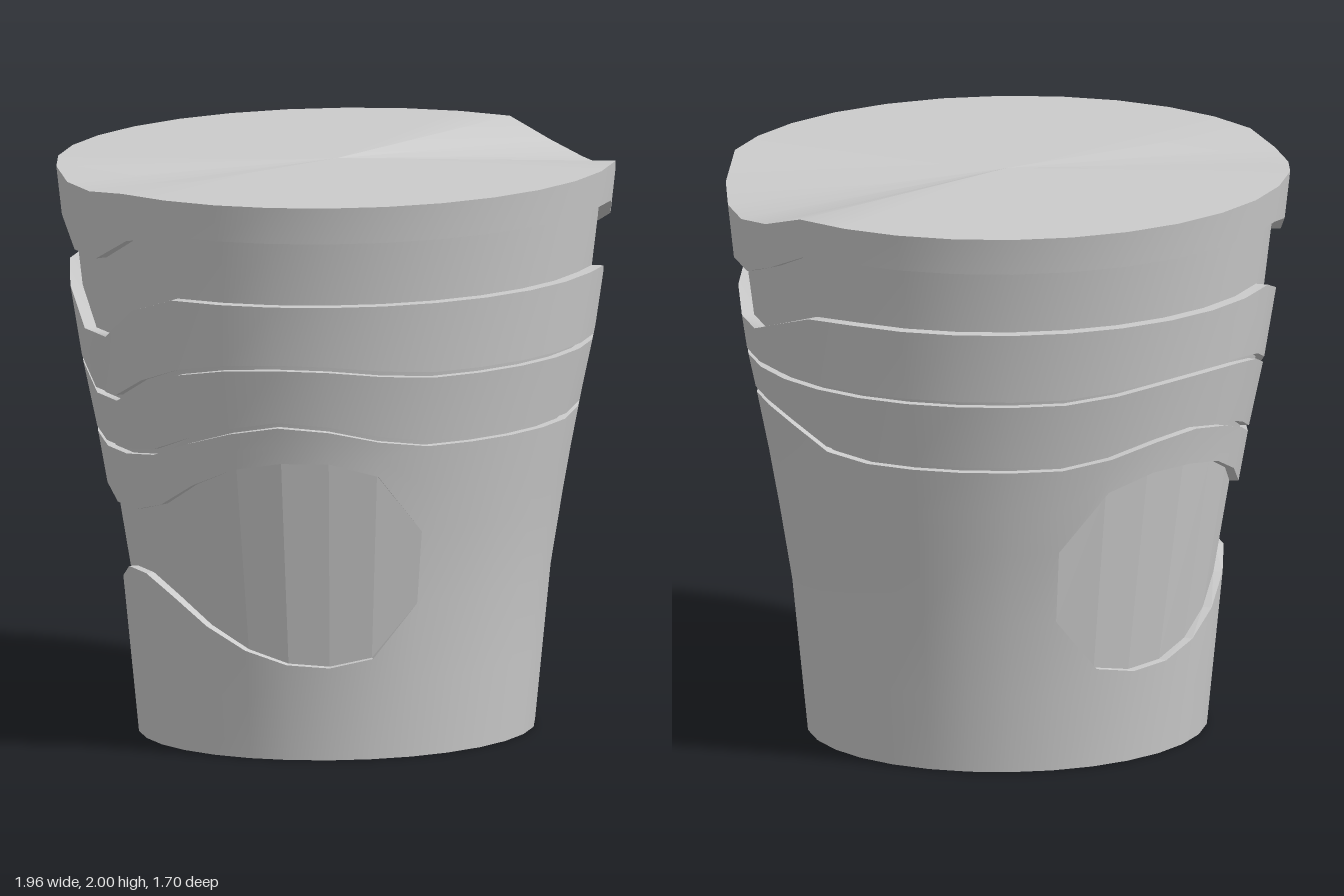
import * as THREE from 'three';

const SIDES = 30;

// outer wall: [height, half width in x, half depth in z]
const WALL = [
  [0, 0.695, 0.6], [0.6, 0.755, 0.65], [1.1, 0.845, 0.73], [1.4, 0.91, 0.783],
  [1.64, 0.945, 0.81], [1.87, 0.97, 0.838], [2, 0.985, 0.853],
];

// wavy edges: heights from the +x side round to the -x side, mirrored round the back
const RIM_TOP = [1.91, 1.94, 2, 2, 2, 2, 2, 2, 2, 2, 2, 2, 2, 2, 1.98];
const RIM_BOTTOM = [1.72, 1.78, 1.86, 1.87, 1.87, 1.87, 1.87, 1.87, 1.87, 1.87, 1.87, 1.87, 1.87, 1.83, 1.74];
const UPPER_TOP = [1.51, 1.57, 1.63, 1.64, 1.64, 1.64, 1.64, 1.64, 1.64, 1.64, 1.64, 1.64, 1.64, 1.58, 1.46];
const UPPER_BOTTOM = [1.39, 1.39, 1.39, 1.39, 1.39, 1.39, 1.39, 1.39, 1.405, 1.425, 1.43, 1.42, 1.39, 1.33, 1.25];
const LOWER_BOTTOM = [1.25, 1.22, 1.155, 1.14, 1.14, 1.14, 1.14, 1.14, 1.165, 1.205, 1.22, 1.19, 1.14, 1.08, 1.06];
const RECESS_TOP = [0.81, 0.81, 0.81, 0.81, 0.81, 0.81, 0.81, 0.81, 1.02, 1.07, 1.07, 1.04, 0.97, 0.88, 0.84];
const RECESS_BOTTOM = [0.55, 0.55, 0.55, 0.55, 0.55, 0.55, 0.55, 0.55, 0.36, 0.33, 0.34, 0.385, 0.46, 0.55, 0.61];
const RECESS_START = 7;

const flat = (y) => Array(15).fill(y);
const lower = (edge, d) => edge.map((y) => y - d);
const between = (a, b, t) => a.map((y, i) => y + (b[i] - y) * t);
const mirrored = (i) => Math.min(i, SIDES - 1 - i);

function wallAt(y) {
  let k = 0;
  while (k < WALL.length - 2 && y > WALL[k + 1][0]) k++;
  const [p, q] = [WALL[k], WALL[k + 1]];
  const t = (y - p[0]) / (q[0] - p[0]);
  return [p[1] + (q[1] - p[1]) * t, p[2] + (q[2] - p[2]) * t];
}

// Closed strip through rows [heights, inset, scale], listed so that faces turn outward
function strip(name, rows, { keep = () => true, flatShading = false } = {}) {
  const positions = [];
  const indices = [];
  rows.forEach(([heights, inset = 0, scale = 1]) => {
    for (let i = 0; i < SIDES; i++) {
      const j = mirrored(i);
      const angle = (i / SIDES) * Math.PI * 2;
      const [a, b] = wallAt(heights[j]);
      const d = typeof inset === 'function' ? inset(j) : inset;
      positions.push((a - d) * scale * Math.cos(angle), heights[j], (b - d) * scale * Math.sin(angle));
    }
  });
  for (let r = 0; r < rows.length - 1; r++) {
    for (let i = 0; i < SIDES; i++) {
      if (!keep(r, i)) continue;
      const n = (i + 1) % SIDES;
      const [p, q, s, t] = [r * SIDES + i, r * SIDES + n, (r + 1) * SIDES + i, (r + 1) * SIDES + n];
      indices.push(p, s, q, q, s, t);
    }
  }
  const geometry = new THREE.BufferGeometry();
  geometry.setAttribute('position', new THREE.Float32BufferAttribute(positions, 3));
  geometry.setIndex(indices);
  geometry.computeVertexNormals();
  const material = new THREE.MeshStandardMaterial({ color: 0xcccccc, flatShading, side: THREE.DoubleSide });
  const mesh = new THREE.Mesh(geometry, material);
  mesh.name = name;
  return mesh;
}

export function createModel() {
  const cup = new THREE.Group();
  cup.name = 'cup';
  const inRecess = (i) => i >= RECESS_START && i < SIDES - 1 - RECESS_START;
  const bodyTop = lower(LOWER_BOTTOM, 0.02);
  const lowerTop = lower(UPPER_BOTTOM, 0.02);

  // tapered body, left open where the grip recess wraps round the -x side
  cup.add(strip('body', [
    [flat(0)], [between(flat(0), RECESS_BOTTOM, 0.5)], [RECESS_BOTTOM],
    [RECESS_TOP], [between(RECESS_TOP, bodyTop, 0.5)], [bodyTop],
  ], { keep: (r, i) => r !== 2 || !inRecess(i) }));

  // recess floor with its lower and upper steps, running out flush at both ends
  const depth = (j) => (j <= RECESS_START ? 0 : j === RECESS_START + 1 ? 0.022 : 0.032);
  cup.add(strip('gripRecess', [
    [RECESS_BOTTOM], [RECESS_BOTTOM, depth], [RECESS_TOP, depth], [RECESS_TOP],
  ], { keep: (r, i) => inRecess(i), flatShading: true }));

  // bands and grooves from the body up to the rim; each strip keeps its edges sharp
  const path = [
    ['bodyLedge', bodyTop, 0],
    ['lowerGroove', bodyTop, 0.03],
    ['lowerBandUnderside', LOWER_BOTTOM, 0.03],
    ['lowerBand', LOWER_BOTTOM, 0],
    ['lowerBandLedge', lowerTop, 0],
    ['middleGroove', lowerTop, 0.03],
    ['upperBandUnderside', UPPER_BOTTOM, 0.03],
    ['upperBand', UPPER_BOTTOM, 0],
    ['upperBandLedge', UPPER_TOP, 0],
    ['neck', UPPER_TOP, 0.043],
    ['rimUnderside', RIM_BOTTOM, 0.043],
    ['rim', RIM_BOTTOM, 0],
    ['rimEdge', RIM_TOP, 0],
  ];
  for (let k = 0; k < path.length - 1; k++) {
    const [name, from, inset] = path[k];
    const [, to, nextInset] = path[k + 1];
    cup.add(strip(name, [[from, inset], [to, nextInset]]));
  }

  // closed lid, dipping with the rim, and flat base
  cup.add(strip('lid', [[RIM_TOP], [flat(2), 0, 0]]));
  cup.add(strip('base', [[flat(0), 0, 0], [flat(0)]]));
  return cup;
}
